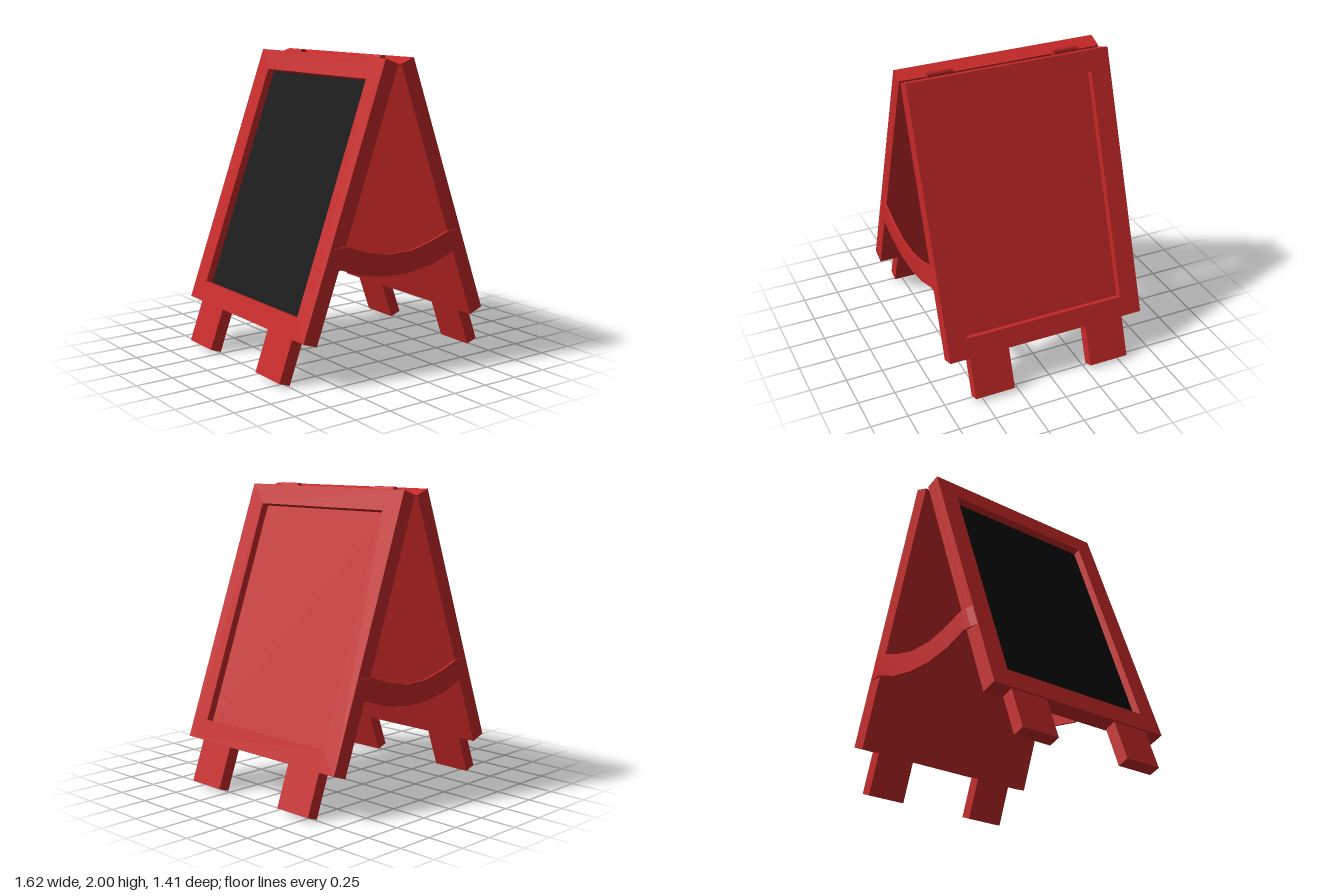
import * as THREE from 'three';

const red = new THREE.MeshStandardMaterial({ color: 0xc62828, flatShading: true });
const black = new THREE.MeshStandardMaterial({ color: 0x0a0a0a, flatShading: true });

const TILT = THREE.MathUtils.degToRad(20);
const HALF_WIDTH = 0.693, HEIGHT = 1.8, THICK = 0.105, RECESS = 0.053;

function add(parent, name, geometry, material = red) {
  const mesh = new THREE.Mesh(geometry, material);
  mesh.name = name;
  parent.add(mesh);
  return mesh;
}

// Box given by its limits on each axis
function block(x0, x1, y0, y1, z0, z1) {
  return new THREE.BoxGeometry(x1 - x0, y1 - y0, z1 - z0)
    .translate((x0 + x1) / 2, (y0 + y1) / 2, (z0 + z1) / 2);
}

function rectangle(path, halfWidth, bottom, top) {
  path.moveTo(-halfWidth, bottom).lineTo(halfWidth, bottom)
    .lineTo(halfWidth, top).lineTo(-halfWidth, top).closePath();
  return path;
}

// One leaning side: local x points outward, y runs up the board, origin at the outer top edge
function createSide(name, floorMaterial) {
  const side = new THREE.Group();
  side.name = name;
  side.position.set(0.11, 1.99, 0);
  side.rotation.z = TILT;

  // Raised frame around the recess
  const outline = rectangle(new THREE.Shape(), HALF_WIDTH, -HEIGHT, 0);
  outline.holes.push(rectangle(new THREE.Path(), 0.556, -1.665, -0.138));
  const frame = new THREE.ExtrudeGeometry(outline, { depth: RECESS, bevelEnabled: false });
  add(side, 'frame', frame.rotateY(Math.PI / 2).translate(-RECESS, 0, 0));

  // Backing board and writing surface
  add(side, 'backBoard', block(-THICK, -RECESS, -HEIGHT, 0, -HALF_WIDTH, HALF_WIDTH));
  add(side, 'writingSurface',
    block(-RECESS - 0.01, -RECESS + 0.002, -1.665, -0.138, -0.556, 0.556), floorMaterial);

  // Feet
  for (const s of [-1, 1]) {
    add(side, 'foot', block(-0.093, -0.012, -2.083, -HEIGHT + 0.03, -0.1375, 0.1375))
      .position.z = s * 0.4175;
  }
  return side;
}

// Sagging strap: stations of [top x, top y, bottom x, bottom y, outer z], mirrored in x
function strapGeometry() {
  const half = [
    [0.09, 0.77, 0.09, 0.63, 0.705],
    [0.25, 0.805, 0.28, 0.66, 0.705],
    [0.41, 0.86, 0.45, 0.72, 0.705],
    [0.46, 0.86, 0.51, 0.72, 0.703],
    [0.515, 0.86, 0.568, 0.72, 0.694],
  ];
  const stations = [
    ...half.map(([a, b, c, d, z]) => [-a, b, -c, d, z]).reverse(),
    ...half,
  ];
  const inner = 0.69, positions = [], index = [];
  for (const [tx, ty, bx, by, z] of stations) {
    positions.push(tx, ty, z, bx, by, z, bx, by, inner, tx, ty, inner);
  }
  for (let i = 0; i < stations.length - 1; i++) {
    for (let k = 0; k < 4; k++) {
      const a = i * 4 + k, b = i * 4 + (k + 1) % 4;
      index.push(a, b, b + 4, a, b + 4, a + 4);
    }
  }
  const e = (stations.length - 1) * 4;
  index.push(0, 3, 2, 0, 2, 1, e, e + 1, e + 2, e, e + 2, e + 3);
  const geometry = new THREE.BufferGeometry();
  geometry.setAttribute('position', new THREE.Float32BufferAttribute(positions, 3));
  geometry.setIndex(index);
  const flat = geometry.toNonIndexed();
  flat.computeVertexNormals();
  return flat;
}

export function createModel() {
  const model = new THREE.Group();
  model.name = 'sandwichBoard';

  // Two leaning sides, one plain and one with a blackboard
  model.add(createSide('plainSide', red));
  const turned = new THREE.Group();
  turned.name = 'blackboardHalf';
  turned.rotation.y = Math.PI;
  turned.add(createSide('blackboardSide', black));
  model.add(turned);

  // Straps and hinge barrels, one pair at each end
  const strap = strapGeometry();
  const barrel = new THREE.CylinderGeometry(0.025, 0.025, 0.17, 12).rotateX(Math.PI / 2);
  for (const s of [1, -1]) {
    add(model, 'strap', strap).rotation.y = s > 0 ? 0 : Math.PI;
    add(model, 'hinge', barrel).position.set(0, 1.975, s * 0.435);
  }
  return model;
}
